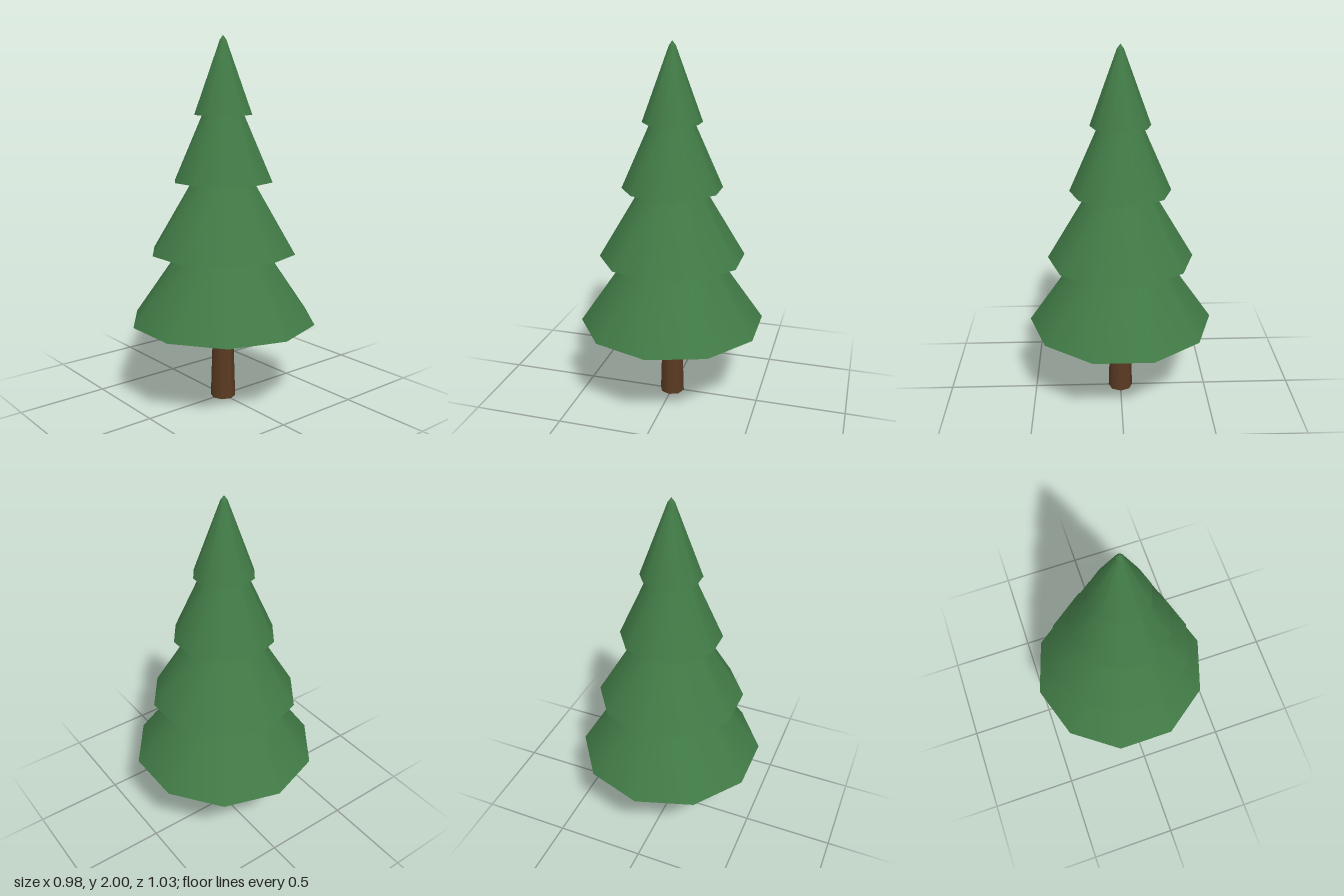
import * as THREE from 'three';

export function createModel() {
  const tree = new THREE.Group();
  tree.name = 'pineTree';

  const needles = new THREE.MeshStandardMaterial({ color: 0x417a46 });
  needles.name = 'needle green';
  const bark = new THREE.MeshStandardMaterial({ color: 0x5a3a22 });
  bark.name = 'bark brown';

  // Tapered round section standing between two heights
  function addTaper(name, material, rBottom, yBottom, rTop, yTop, sides, open = false) {
    const geometry = new THREE.CylinderGeometry(rTop, rBottom, yTop - yBottom, sides, 1, open);
    geometry.translate(0, (yBottom + yTop) / 2, 0);
    const mesh = new THREE.Mesh(geometry, material);
    mesh.name = name;
    tree.add(mesh);
  }

  // Trunk, ending just inside the lowest tier
  addTaper('trunk', bark, 0.07, 0, 0.055, 0.47, 8);

  // Foliage tiers from bottom to top, each tucked into the next
  const tiers = [
    [0.515, 0.458, 0.235, 0.86],
    [0.402, 0.843, 0.163, 1.245],
    [0.274, 1.23, 0.11, 1.6],
    [0.161, 1.585, 0.018, 1.975],
  ];
  tiers.forEach(([rBottom, yBottom, rTop, yTop], i) =>
    addTaper(`foliageTier${i + 1}`, needles, rBottom, yBottom, rTop, yTop, 10));

  // Blunt tip
  addTaper('tip', needles, 0.018, 1.975, 0, 2, 10, true);

  return tree;
}
